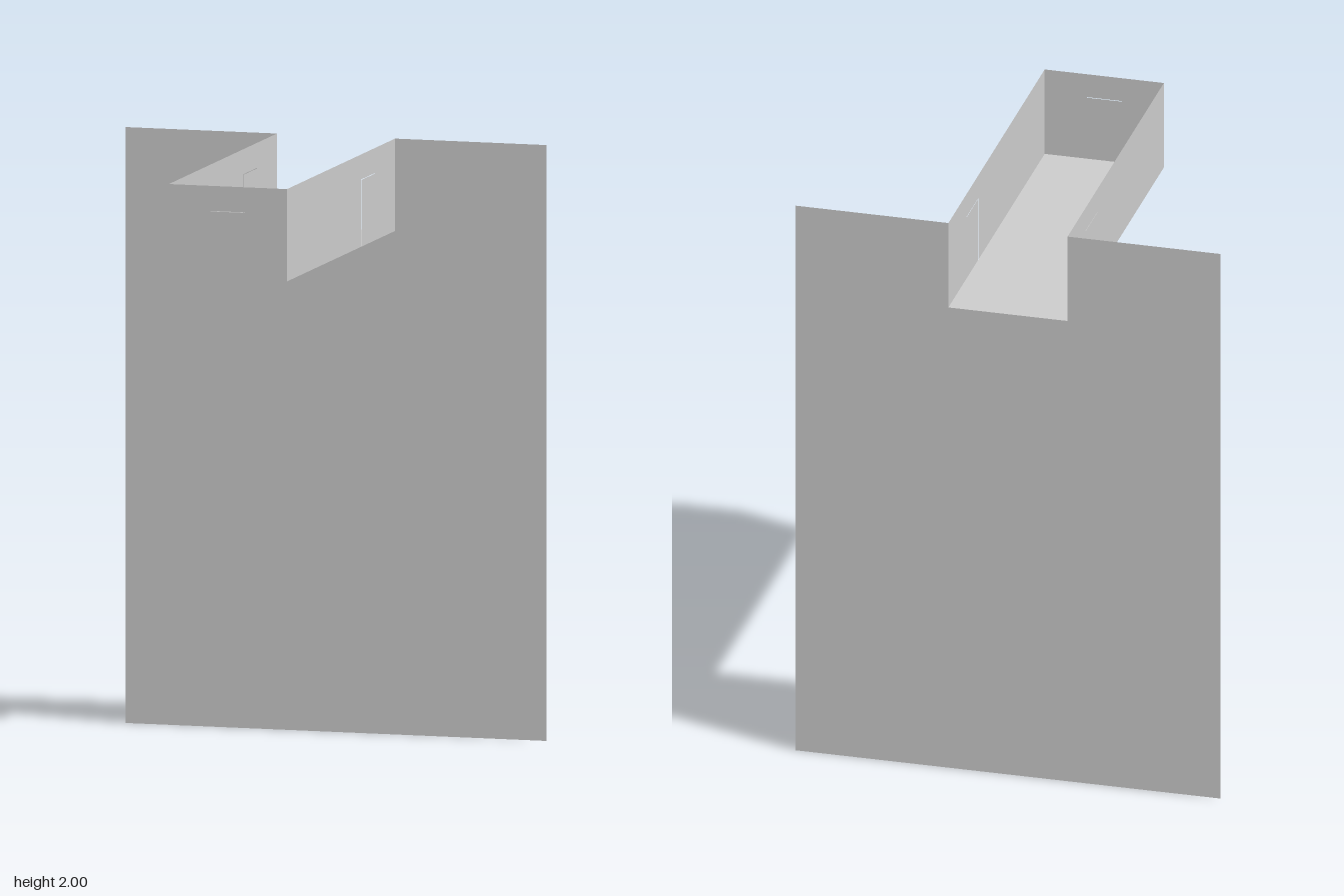
import * as THREE from 'three';

const W = 0.73, H = 2, D = 0.62;          // board half width, height, half depth
const T = 0.205, FLOOR = 1.69;            // tray half width, floor height
const SLIT = 1.915;                       // height of the tab slits

const material = new THREE.MeshStandardMaterial({ color: 0xcccccc, side: THREE.DoubleSide, flatShading: true });

// Flat sheet from an outline, with optional holes
function sheet(name, points, holes = []) {
  const toV = (list) => list.map(([x, y]) => new THREE.Vector2(x, y));
  const shape = new THREE.Shape(toV(points));
  for (const h of holes) shape.holes.push(new THREE.Path(toV(h)));
  const mesh = new THREE.Mesh(new THREE.ShapeGeometry(shape), material);
  mesh.name = name;
  return mesh;
}

export function createModel() {
  const group = new THREE.Group();
  group.name = 'boardWithTray';

  // Back board with a notch where the tray meets it
  const board = sheet('backBoard', [
    [-W, 0], [W, 0], [W, H], [T, H], [T, FLOOR], [-T, FLOOR], [-T, H], [-W, H],
  ]);
  board.position.z = -D;
  group.add(board);

  // Tray side walls, each with a hairline L-shaped cut
  for (const [name, x] of [['leftWall', T], ['rightWall', -T]]) {
    const wall = sheet(name, [
      [-D, FLOOR], [-0.238, FLOOR], [-0.238, SLIT - 0.001], [-0.39, SLIT - 0.001],
      [-0.39, SLIT + 0.001], [-0.232, SLIT + 0.001], [-0.232, FLOOR],
      [D, FLOOR], [D, H], [-D, H],
    ]);
    wall.rotation.y = -Math.PI / 2;
    wall.position.x = x;
    group.add(wall);
  }

  // Tray front with a short slit
  const front = sheet('trayFront',
    [[-T, FLOOR], [T, FLOOR], [T, H], [-T, H]],
    [[[-0.06, SLIT - 0.001], [-0.06, SLIT + 0.001], [0.06, SLIT + 0.001], [0.06, SLIT - 0.001]]]);
  front.position.z = D;
  group.add(front);

  // Tray floor
  const floor = sheet('trayFloor', [[-T, -D], [T, -D], [T, D], [-T, D]]);
  floor.rotation.x = -Math.PI / 2;
  floor.position.y = FLOOR;
  group.add(floor);

  return group;
}
